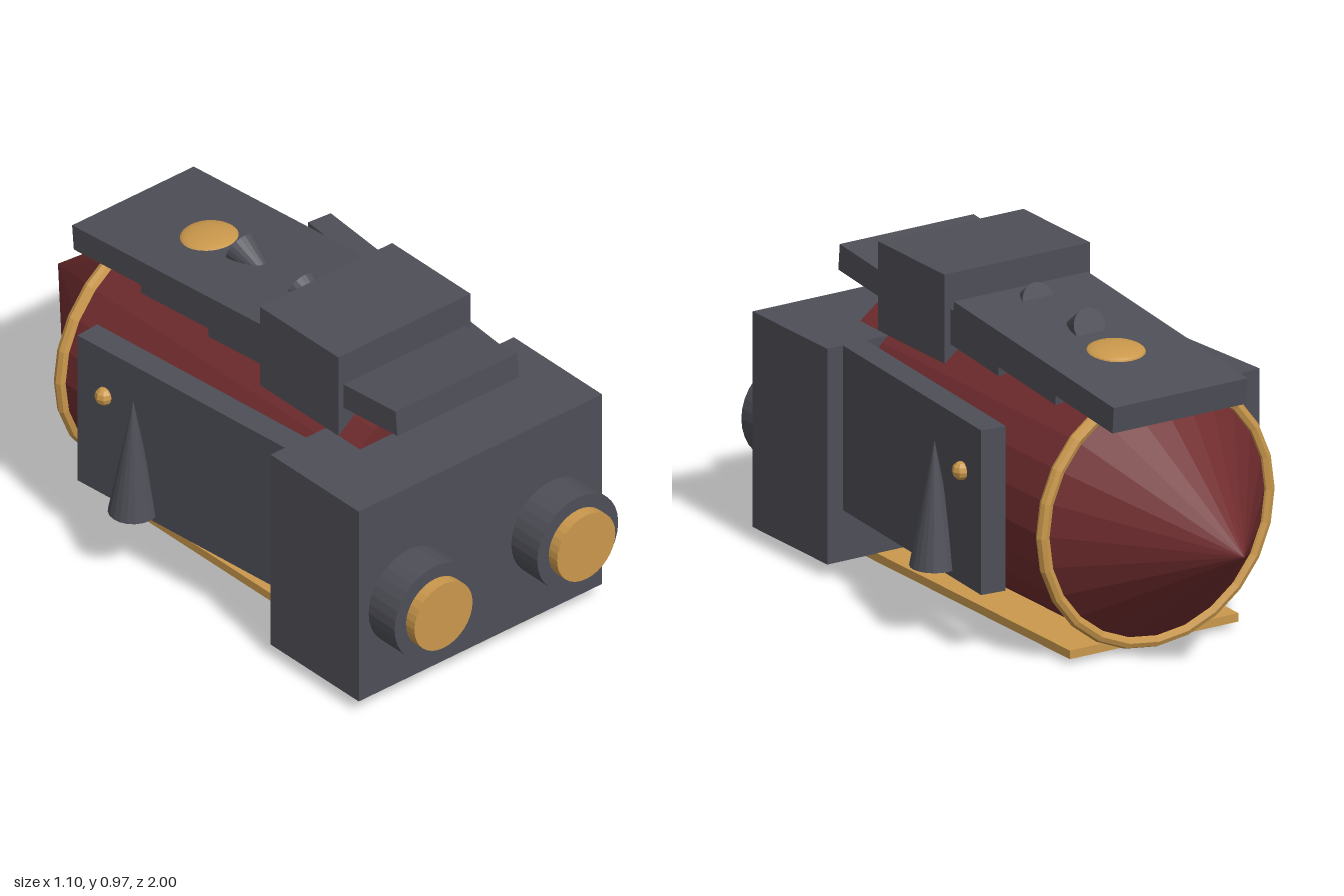
import * as THREE from 'three';

export function createModel() {
  const model = new THREE.Group();
  const grey = new THREE.MeshStandardMaterial({ name: 'dark grey', color: 0x4e4f57, flatShading: true });
  const red = new THREE.MeshStandardMaterial({ name: 'deep red', color: 0x702c2e, flatShading: true });
  const gold = new THREE.MeshStandardMaterial({ name: 'gold', color: 0xca984c, flatShading: true });

  function add(name, geometry, material, x, y, z, rx = 0, ry = 0, rz = 0) {
    const mesh = new THREE.Mesh(geometry, material);
    mesh.name = name;
    mesh.position.set(x, y, z);
    mesh.rotation.set(rx, ry, rz);
    model.add(mesh);
    return mesh;
  }
  const box = (w, h, d) => new THREE.BoxGeometry(w, h, d);
  const rod = (r, h, n) => new THREE.CylinderGeometry(r, r, h, n);
  const quarter = Math.PI / 2;
  const axisY = 0.41;

  // Barrel hull, pointed end and the band around the joint
  add('hull', rod(0.385, 1.14, 24), red, 0, axisY, 0.04, quarter);
  add('noseCone', new THREE.ConeGeometry(0.385, 0.47, 24), red, 0, axisY, -0.765, -quarter);
  add('band', new THREE.TorusGeometry(0.387, 0.02, 8, 24), gold, 0, axisY, -0.54);
  add('keelPlate', box(0.58, 0.026, 1.15), gold, 0, 0.033, 0.04);

  // Block at the front
  add('frontBlock', box(0.92, 0.655, 0.386), grey, 0, 0.3725, 0.656);

  for (const s of [1, -1]) {
    // Round ports with gold discs
    add('port', rod(0.153, 0.14, 32), grey, s * 0.27, 0.333, 0.893, quarter);
    add('portDisc', rod(0.11, 0.06, 32), gold, s * 0.27, 0.333, 0.97, quarter);

    // Splayed side panel with pivot, stud and spike
    add('sidePanel', box(0.08, 0.5, 0.86), grey, s * 0.401, 0.45, 0.065, 0, -s * 0.088);
    add('panelPivot', rod(0.047, 0.08, 16), grey, s * 0.395, 0.545, -0.253, 0, 0, quarter);
    add('stud', new THREE.SphereGeometry(0.028, 8, 6), gold, s * 0.474, 0.545, -0.25);
    add('spike', new THREE.ConeGeometry(0.073, 0.38, 20), grey, s * 0.478, 0.41, -0.118);
  }

  // Three overlapping tilted plates along the top
  for (const z of [0.335, 0.04, -0.255]) {
    add('topPlate', box(0.46, 0.08, 0.83), grey, 0, 0.811, z, -0.095);
  }
  add('topBlock', box(0.5, 0.27, 0.343), grey, 0, 0.835, 0.345);

  // Half-sunk vents, open end facing back and up
  for (const z of [0.064, -0.2]) {
    add('vent', new THREE.ConeGeometry(0.053, 0.19, 20), grey, 0, 0.876 - 0.36 * 0.095, z + 0.93 * 0.095, 1.94);
  }

  // Low dome on the rear of the top plates
  add('dome', new THREE.SphereGeometry(0.087, 32, 16), gold, 0, 0.84, -0.335, -0.04).scale.y = 0.25;

  return model;
}
